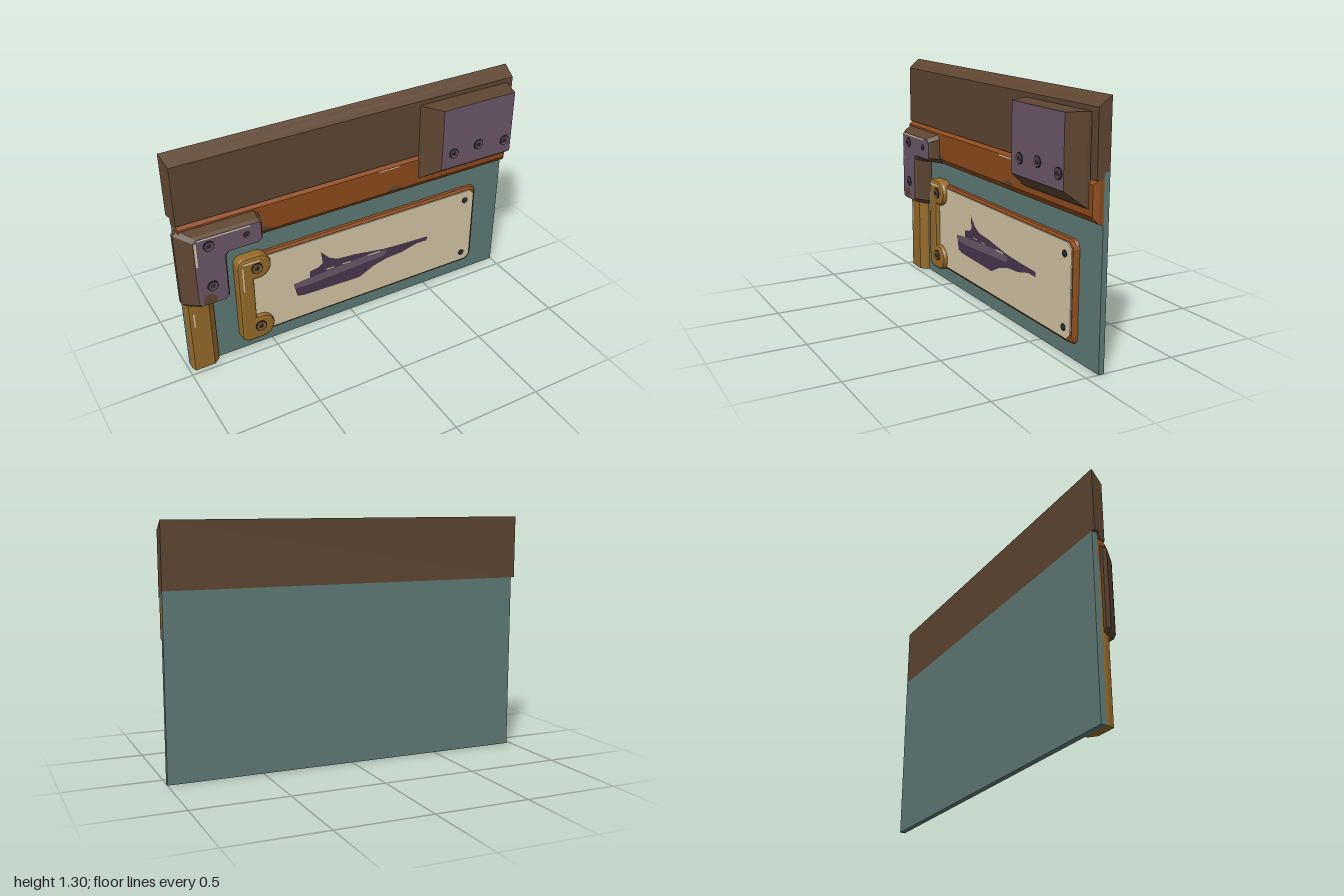
import * as THREE from 'three';

const mat = (name, color) => new THREE.MeshStandardMaterial({ name, color });

export function createModel() {
  const root = new THREE.Group();
  const teal = mat('teal', 0x5f7b76), brown = mat('brown', 0x5f4632), orange = mat('rust orange', 0x8e4c1c);
  const gold = mat('ochre', 0x976c2a), cream = mat('cream', 0xd6c7a6), purple = mat('dusty purple', 0x6d586a);
  const plum = mat('dark plum', 0x4b354d), iron = mat('bolt iron', 0x4a4148), dark = mat('recess', 0x2b2428);

  const add = (name, geometry, material, parent = root) => {
    const mesh = new THREE.Mesh(geometry, material);
    mesh.name = name;
    parent.add(mesh);
    return mesh;
  };

  // Counter-clockwise rectangle with optional corner cuts of k steps
  const rect = (x0, x1, y0, y1, r = 0, k = 3) => {
    if (!r) return [[x0, y0], [x1, y0], [x1, y1], [x0, y1]];
    const pts = [];
    [[x1 - r, y0 + r, -90], [x1 - r, y1 - r, 0], [x0 + r, y1 - r, 90], [x0 + r, y0 + r, 180]].forEach(([cx, cy, a]) => {
      for (let i = 0; i <= k; i++) {
        const t = THREE.MathUtils.degToRad(a + 90 * i / k);
        pts.push([cx + r * Math.cos(t), cy + r * Math.sin(t)]);
      }
    });
    return pts;
  };

  // Solid through matching outlines stacked along z; group 0 = sides and back, 1 = front
  const loft = (layers) => {
    const pos = [], n = layers[0][1].length;
    const put = ([z, pts], i) => pos.push(pts[i % n][0], pts[i % n][1], z);
    for (let l = 0; l < layers.length - 1; l++) {
      const a = layers[l], b = layers[l + 1];
      for (let i = 0; i < n; i++) {
        put(a, i); put(a, i + 1); put(b, i + 1);
        put(a, i); put(b, i + 1); put(b, i);
      }
    }
    const cap = (layer) => THREE.ShapeUtils.triangulateShape(layer[1].map(p => new THREE.Vector2(...p)), []);
    const first = layers[0], last = layers[layers.length - 1];
    cap(first).forEach(([a, b, c]) => { put(first, a); put(first, c); put(first, b); });
    const split = pos.length / 3;
    cap(last).forEach(f => f.forEach(i => put(last, i)));
    const g = new THREE.BufferGeometry();
    g.setAttribute('position', new THREE.Float32BufferAttribute(pos, 3));
    g.addGroup(0, split, 0);
    g.addGroup(split, pos.length / 3 - split, 1);
    g.computeVertexNormals();
    return g;
  };
  const solid = (name, layers, side, front = side) => add(name, loft(layers), [side, front]);

  // Thin painted patch lying on a surface at height z
  const patch = (name, pts, z, material) => {
    const g = new THREE.ShapeGeometry(new THREE.Shape(pts.map(p => new THREE.Vector2(...p))));
    add(name, g.translate(0, 0, z + 0.002), material);
  };

  // Back panel and sloped top board
  solid('backPanel', [[-0.1, rect(-0.98, 1, 0, 0.96)], [-0.07, rect(-0.98, 1, 0, 0.96)]], teal);
  solid('topBoard', [
    [-0.1, rect(-1, 1, 0.96, 1.3)],
    [-0.07, rect(-0.991, 1, 0.96, 1.279)],
    [-0.07, rect(-0.991, 1, 0.925, 1.279)],
    [-0.03, rect(-0.98, 1, 0.925, 1.25)],
  ], brown);

  // Cross rail and left stile with chamfered edges
  solid('crossRail', [
    [-0.07, rect(-0.98, 1, 0.717, 0.93)],
    [-0.045, rect(-0.98, 1, 0.725, 0.925)],
    [-0.02, rect(-0.975, 0.985, 0.757, 0.905)],
  ], orange);
  solid('leftStile', [
    [-0.07, rect(-0.98, -0.82, 0, 0.75)],
    [-0.055, rect(-0.98, -0.825, 0, 0.75)],
    [-0.026, rect(-0.97, -0.86, 0, 0.75)],
  ], gold);

  // L-shaped corner bracket, outline from left, right, leg edge, bottom, arm underside, top
  const ell = (l, r, leg, b, arm, t, c) => [
    [l + c, b], [leg - c, b], [leg, b + c], [leg, arm - 0.02], [leg + 0.02, arm],
    [r - c, arm], [r, arm + c], [r, t - c], [r - c, t], [l + c, t], [l, t - c], [l, b + c],
  ];
  solid('cornerBracket', [
    [-0.06, ell(-1, -0.55, -0.75, 0.437, 0.72, 0.9, 0.025)],
    [-0.035, ell(-1, -0.55, -0.75, 0.437, 0.725, 0.9, 0.025)],
    [0.03, ell(-0.945, -0.56, -0.76, 0.457, 0.74, 0.88, 0.02)],
    [0.045, ell(-0.93, -0.57, -0.77, 0.465, 0.75, 0.868, 0.015)],
  ], brown, purple);
  patch('bracketChip', [[-0.9, 0.467], [-0.84, 0.467], [-0.83, 0.5], [-0.86, 0.53], [-0.895, 0.525], [-0.91, 0.49]], 0.045, brown);
  patch('bracketTopWear', rect(-0.91, -0.63, 0.858, 0.866), 0.045, cream);
  patch('bracketSideWear', rect(-0.927, -0.915, 0.71, 0.85), 0.045, cream);

  // Wedge block with tapered sides and underside
  solid('wedgeBlock', [
    [-0.025, rect(0.4, 0.955, 0.785, 1.228)],
    [-0.005, rect(0.405, 0.953, 0.797, 1.228)],
    [0.095, rect(0.47, 0.923, 0.875, 1.228)],
  ], brown, purple);

  // Framed name-plate style panel, left blank but for a painted splash
  solid('plateFrame', [
    [-0.07, rect(-0.66, 0.825, 0.08, 0.603, 0.04)],
    [-0.055, rect(-0.66, 0.82, 0.084, 0.6, 0.04)],
    [-0.045, rect(-0.65, 0.808, 0.096, 0.588, 0.035)],
  ], orange);
  solid('plate', [
    [-0.046, rect(-0.64, 0.802, 0.103, 0.585, 0.03, 1)],
    [-0.039, rect(-0.64, 0.802, 0.103, 0.585, 0.03, 1)],
  ], cream);
  patch('splash', [
    [-0.37, 0.34], [-0.36, 0.3], [-0.35, 0.255], [-0.31, 0.245], [0.04, 0.235], [0.13, 0.28], [0.22, 0.303],
    [0.32, 0.31], [0.42, 0.335], [0.49, 0.333], [0.49, 0.36], [0.36, 0.365], [0.2, 0.375], [0.01, 0.405],
    [-0.1, 0.415], [-0.15, 0.44], [-0.2, 0.495], [-0.19, 0.42], [-0.215, 0.4], [-0.27, 0.39], [-0.27, 0.35],
  ], -0.039, plum);
  patch('splashHighlight', [[-0.37, 0.338], [-0.36, 0.31], [-0.27, 0.305], [0.2, 0.33], [0.22, 0.36], [0.15, 0.375], [-0.28, 0.35]], -0.037, purple);
  [[-0.17, -0.12], [-0.07, -0.02], [0.09, 0.17]].forEach(([a, b]) =>
    patch('splashGap', rect(a, b, 0.367, 0.374), -0.035, cream));

  // C-shaped handle clamp with rounded feet
  const e = 0.018, clampShape = new THREE.Shape();
  const [x0, xs, x1, y0, y1] = [-0.693 + e, -0.6 - e, -0.5 - e, 0.075 + e, 0.62 - e];
  const foot = 0.148 - 2 * e, r = foot / 2;
  clampShape.moveTo(x0 + 0.03, y0);
  clampShape.lineTo(x1 - r, y0);
  clampShape.absarc(x1 - r, y0 + r, r, -Math.PI / 2, Math.PI / 2, false);
  clampShape.lineTo(xs, y0 + foot);
  clampShape.lineTo(xs, y1 - foot);
  clampShape.lineTo(x1 - r, y1 - foot);
  clampShape.absarc(x1 - r, y1 - r, r, -Math.PI / 2, Math.PI / 2, false);
  clampShape.lineTo(x0 + 0.03, y1);
  clampShape.quadraticCurveTo(x0, y1, x0, y1 - 0.03);
  clampShape.lineTo(x0, y0 + 0.03);
  clampShape.quadraticCurveTo(x0, y0, x0 + 0.03, y0);
  const clamp = new THREE.ExtrudeGeometry(clampShape, {
    depth: 0.04, bevelSize: e, bevelThickness: e, bevelSegments: 2, curveSegments: 8,
  });
  add('handleClamp', clamp.translate(0, 0, -0.07), gold);

  // Worn paint marks
  patch('clampSideWear', rect(-0.669, -0.661, 0.42, 0.57), -0.012, cream);
  patch('clampTopWear', rect(-0.66, -0.57, 0.585, 0.595), -0.012, cream);
  patch('stileWear', rect(-0.95, -0.942, 0.29, 0.375), -0.026, cream);
  patch('railWear', rect(0.15, 0.275, 0.897, 0.904), -0.02, cream);
  [-0.53, 0.25].forEach(x =>
    patch('railChip', [[x - 0.05, 0.758], [x + 0.05, 0.758], [x + 0.03, 0.778], [x, 0.788], [x - 0.035, 0.78]], -0.02, brown));

  // Bolts: washer ring, domed head and dark socket
  const bolt = (x, y, z, rad, ring) => {
    const g = new THREE.Group();
    g.name = 'bolt';
    g.position.set(x, y, z);
    const disc = (name, top, bottom, h, zc, m) =>
      add(name, new THREE.CylinderGeometry(top, bottom, h, 14).rotateX(Math.PI / 2).translate(0, 0, zc), m, g);
    disc('boltRim', rad, rad, 0.004, 0.001, dark);
    disc('boltWasher', rad * 0.78, rad * 0.88, 0.006, 0.002, ring);
    disc('boltHead', rad * 0.42, rad * 0.55, 0.01, 0.003, iron);
    disc('boltSocket', rad * 0.25, rad * 0.25, 0.002, 0.008, dark);
    root.add(g);
  };
  [[0.545, 0.96], [0.705, 0.972], [0.88, 0.95]].forEach(([x, y]) => bolt(x, y, 0.095, 0.03, purple));
  [[-0.85, 0.815], [-0.85, 0.573]].forEach(([x, y]) => bolt(x, y, 0.045, 0.03, purple));
  bolt(-0.648, 0.815, 0.045, 0.018, purple);
  [0.545, 0.16].forEach(y => bolt(-0.585, y, -0.012, 0.033, gold));
  [0.525, 0.155].forEach(y => bolt(0.745, y, -0.039, 0.019, iron));

  return root;
}
